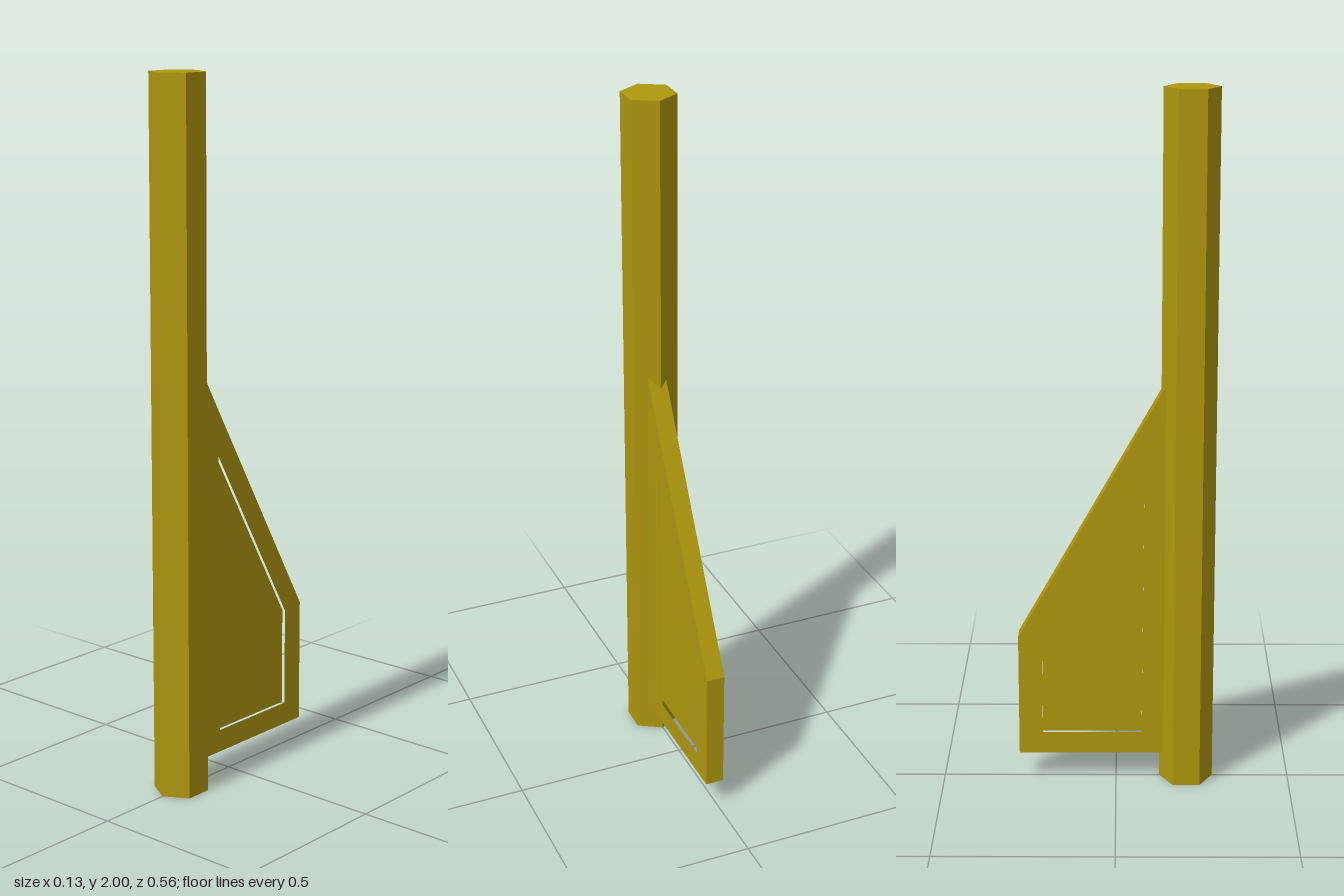
import * as THREE from 'three';

export function createModel() {
  const group = new THREE.Group();
  const ochre = new THREE.MeshStandardMaterial({ color: 0xb0980e });
  ochre.name = 'ochre';
  ochre.flatShading = true;

  function add(name, geometry) {
    const mesh = new THREE.Mesh(geometry, ochre);
    mesh.name = name;
    group.add(mesh);
    return mesh;
  }

  // Hexagonal post with a corner facing front
  add('post', new THREE.CylinderGeometry(0.077, 0.077, 2, 6)).position.set(0, 1, 0.203);

  // Fin outlines as [z, y] points
  const outer = [[0.135, 0.08], [-0.28, 0.08], [-0.28, 0.44], [0.147, 1.2]];
  const inner = [[0.074, 0.145], [-0.212, 0.145], [-0.212, 0.43], [0.08, 0.95]];
  const points = (list) => list.map(([z, y]) => new THREE.Vector2(z, y));

  // Extrudes a side profile between two x positions
  function slab(shape, x0, x1) {
    return new THREE.ExtrudeGeometry(shape, { depth: x1 - x0, bevelEnabled: false })
      .rotateY(-Math.PI / 2)
      .translate(x1, 0, 0);
  }

  // Fin frame with an opening
  const frame = new THREE.Shape(points(outer));
  frame.holes.push(new THREE.Path(points(inner)));
  add('finFrame', slab(frame, -0.02, 0.033));

  // Recessed panel filling the opening on both sides
  add('finPanel', slab(new THREE.Shape(points(inner)), -0.01, 0.023));

  return group;
}
